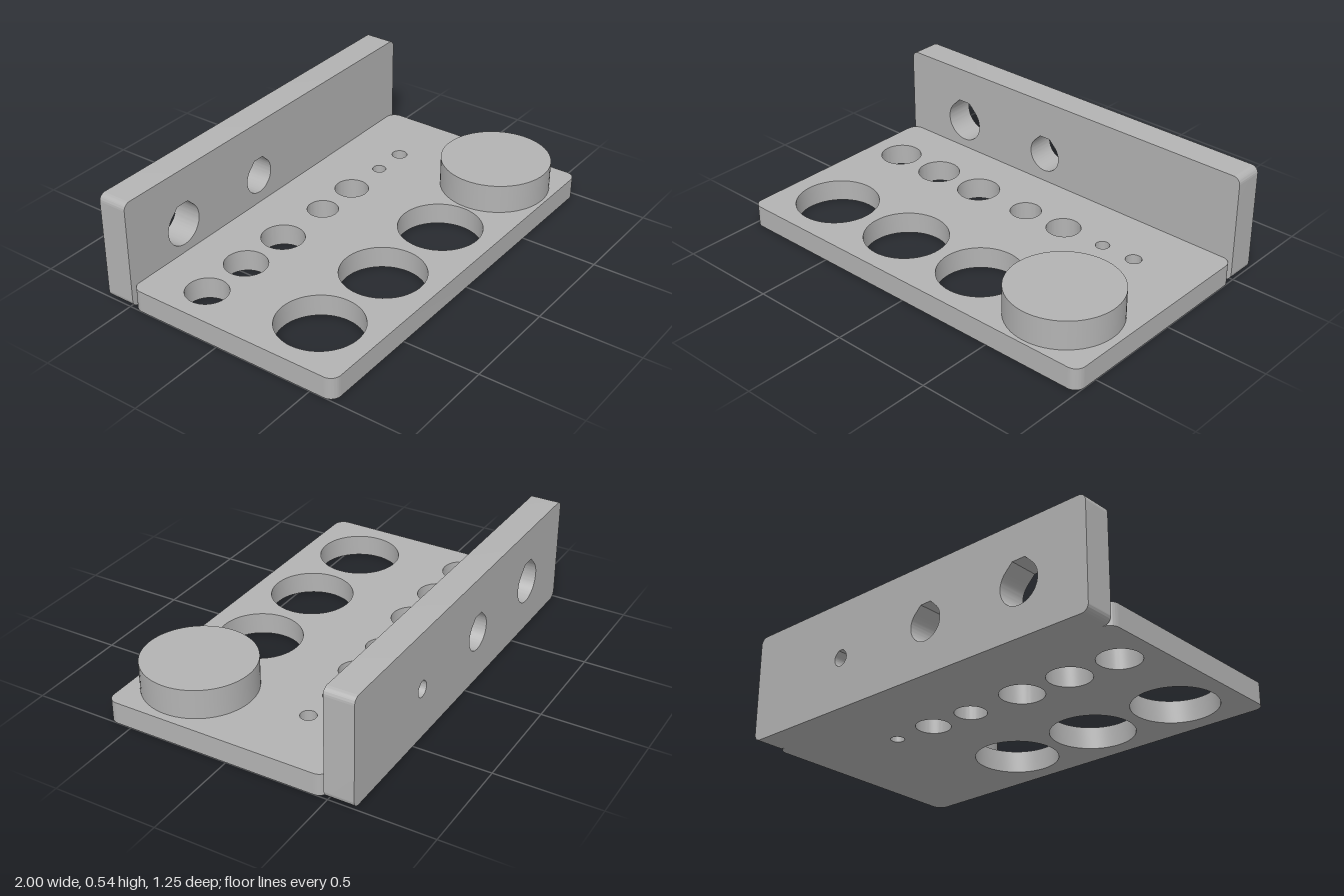
import * as THREE from 'three';
import { toCreasedNormals } from 'three/addons/utils/BufferGeometryUtils.js';

const SEGMENTS = 32;

// Rectangle with rounded corners, spanning x0..x1 and y0..y1
function roundedRect(x0, y0, x1, y1, r) {
  const s = new THREE.Shape();
  s.absarc(x1 - r, y0 + r, r, -Math.PI / 2, 0);
  s.absarc(x1 - r, y1 - r, r, 0, Math.PI / 2);
  s.absarc(x0 + r, y1 - r, r, Math.PI / 2, Math.PI);
  s.absarc(x0 + r, y0 + r, r, Math.PI, Math.PI * 1.5);
  s.closePath();
  return s;
}

function roundHole(x, y, r) {
  return new THREE.Shape().absarc(x, y, r, 0, Math.PI * 2);
}

// Round hole with 45 degree shoulders and a flat top
function teardropHole(x, y, r) {
  const top = r * 1.08;
  const half = r * Math.SQRT2 - top;
  const s = new THREE.Shape();
  s.absarc(x, y, r, Math.PI * 0.75, Math.PI * 2.25);
  s.lineTo(x + half, y + top);
  s.lineTo(x - half, y + top);
  s.closePath();
  return s;
}

function extrude(shape, depth) {
  const geometry = new THREE.ExtrudeGeometry(shape, { depth, bevelEnabled: false, curveSegments: SEGMENTS });
  return toCreasedNormals(geometry, Math.PI / 6);
}

export function createModel() {
  const group = new THREE.Group();
  const grey = new THREE.MeshStandardMaterial({ color: 0xb3b3b3 });
  grey.name = 'grey';

  const add = (name, geometry) => {
    const mesh = new THREE.Mesh(geometry, grey);
    mesh.name = name;
    group.add(mesh);
    return mesh;
  };

  // Base plate: drawn in x and -z, extruded upwards
  const baseHeight = 0.107;
  const rowZ = -0.2;
  const bigZ = 0.338;
  const base = roundedRect(-1, -0.622, 1, 0.482, 0.05);
  const smallHoles = [
    [-0.822, 0.1], [-0.556, 0.102], [-0.289, 0.103],
    [0.015, 0.075], [0.248, 0.082], [0.48, 0.033],
  ];
  for (const [x, r] of smallHoles) base.holes.push(roundHole(x, -rowZ, r));
  for (const x of [-0.716, -0.251, 0.212]) base.holes.push(roundHole(x, -bigZ, 0.2));

  // Blind hole in the base, closed by a floor
  const basePocket = roundHole(0.658, -rowZ, 0.038);
  base.holes.push(basePocket);
  add('basePlate', extrude(base, baseHeight).rotateX(-Math.PI / 2));
  add('basePocketFloor', extrude(basePocket, 0.03).rotateX(-Math.PI / 2));

  // Upright back plate
  const wallFront = -0.482;
  const wallDepth = 0.143;
  const wall = roundedRect(-1, 0, 1, 0.535, 0.035);
  wall.holes.push(teardropHole(-0.643, 0.251, 0.102), teardropHole(-0.11, 0.25, 0.087));

  // Blind hole opening at the rear, closed towards the front
  const wallPocket = teardropHole(0.425, 0.25, 0.038);
  wall.holes.push(wallPocket);
  add('backPlate', extrude(wall, wallDepth)).position.z = wallFront - wallDepth;
  add('wallPocketFloor', extrude(wallPocket, 0.04)).position.z = wallFront - 0.04;

  // Raised round boss
  const boss = add('roundBoss', new THREE.CylinderGeometry(0.266, 0.266, 0.145, 64));
  boss.position.set(0.695, baseHeight + 0.0715, bigZ);

  return group;
}
